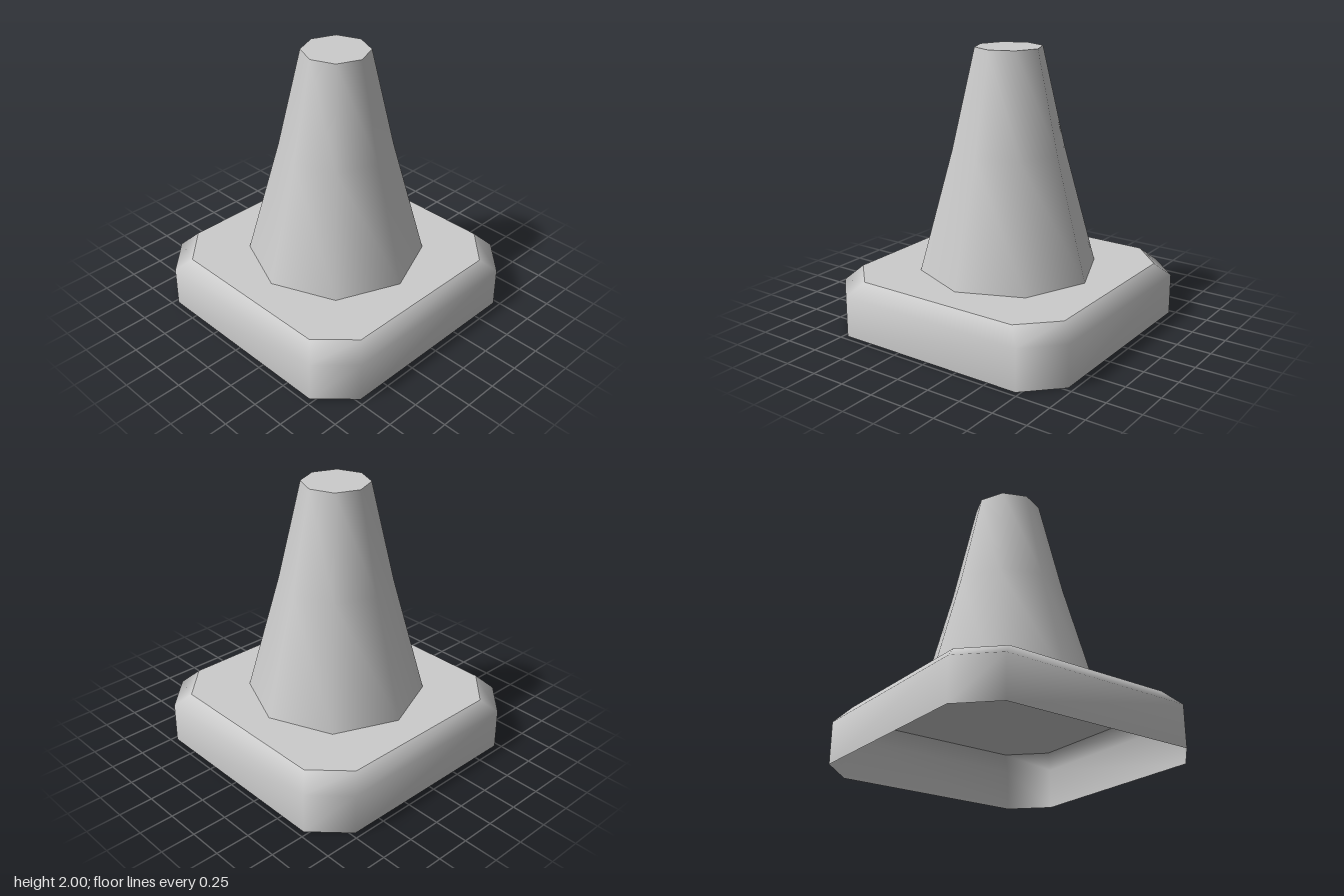
import * as THREE from 'three';

const grey = new THREE.MeshStandardMaterial({ color: 0xcccccc, side: THREE.DoubleSide });
grey.name = 'grey';

// Corners of a square with cut corners, anticlockwise: a = half width, b = half length of the straight edge
const outline = (a, b) => [[a, -b], [a, b], [b, a], [-b, a], [-a, b], [-a, -b], [-b, -a], [b, -a]];

// Smooth skin joining rings of [y, a, b]
function ringSkin(rings) {
  const positions = [], index = [];
  for (const [y, a, b] of rings) {
    for (const [x, z] of outline(a, b)) positions.push(x, y, z);
  }
  for (let r = 0; r < rings.length - 1; r++) {
    for (let i = 0; i < 8; i++) {
      const p = r * 8 + i, q = r * 8 + (i + 1) % 8;
      index.push(p, p + 8, q, q, p + 8, q + 8);
    }
  }
  const geometry = new THREE.BufferGeometry();
  geometry.setAttribute('position', new THREE.Float32BufferAttribute(positions, 3));
  geometry.setIndex(index);
  geometry.computeVertexNormals();
  return geometry;
}

export function createModel() {
  const group = new THREE.Group();
  const add = (name, geometry, y = 0) => {
    const mesh = new THREE.Mesh(geometry, grey);
    mesh.name = name;
    mesh.position.y = y;
    group.add(mesh);
  };

  // Hollow base, open underneath, with a bevelled upper rim
  add('baseWall', ringSkin([[0, 0.96, 0.72], [0.3, 0.96, 0.72], [0.4, 0.865, 0.625]]));

  // Flat top of the base
  const top = new THREE.Shape(outline(0.865, 0.625).map(([x, z]) => new THREE.Vector2(x, z)));
  add('baseTop', new THREE.ShapeGeometry(top).rotateX(-Math.PI / 2), 0.4);

  // Eight-sided cone with a slight bend in its slope
  const profile = [[0.645, 0.4], [0.405, 1.28], [0.24, 2]].map(([r, y]) => new THREE.Vector2(r, y));
  add('cone', new THREE.LatheGeometry(profile, 8));

  // Flat cap closing the cone
  add('coneCap', new THREE.CircleGeometry(0.24, 8).rotateX(-Math.PI / 2), 2);

  return group;
}
